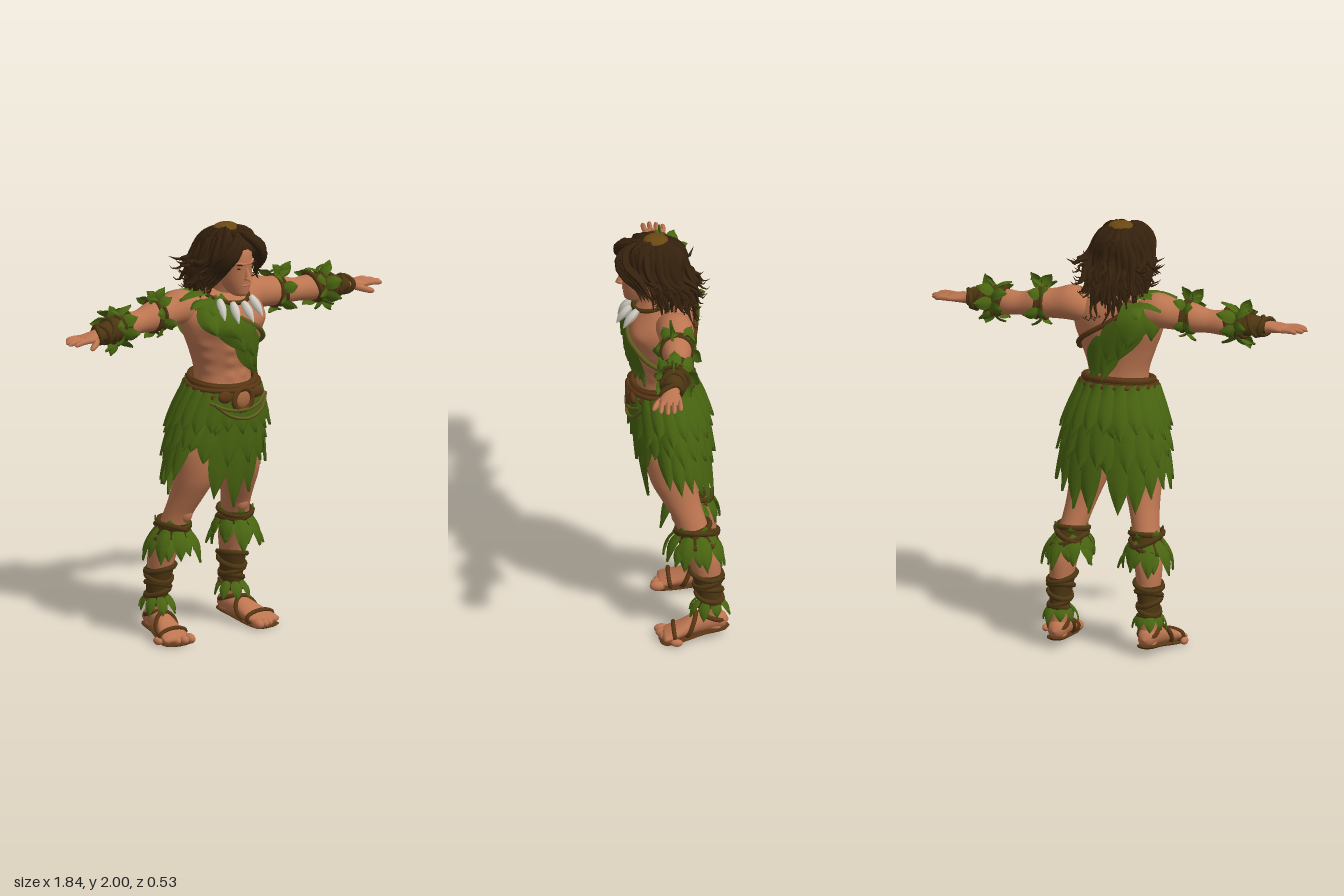
import * as THREE from 'three';
import { mergeGeometries, mergeVertices } from 'three/addons/utils/BufferGeometryUtils.js';

const V = (x, y, z) => new THREE.Vector3(x, y, z);
const mat = (name, color, side = THREE.FrontSide) => Object.assign(new THREE.MeshStandardMaterial({ color, side }), { name });
let seed = 7;
const rnd = (a, b) => { seed = (seed * 16807) % 2147483647; return a + (b - a) * seed / 2147483647; };

// Smooth interpolation of cross-sections [key, centre, centre, radius, radius]
function at(s, k) {
  let i = 0;
  while (i < s.length - 2 && k > s[i + 1][0]) i++;
  const h = s[i + 1][0] - s[i][0], t = Math.min(1, Math.max(0, (k - s[i][0]) / h));
  const slope = (n, j) => {
    const lo = s[Math.max(n - 1, 0)], hi = s[Math.min(n + 1, s.length - 1)];
    return (hi[j] - lo[j]) / (hi[0] - lo[0]);
  };
  return s[i].map((a, j) => (1 + 2 * t) * (1 - t) ** 2 * a + t * (1 - t) ** 2 * h * slope(i, j)
    + t * t * (3 - 2 * t) * s[i + 1][j] + t * t * (t - 1) * h * slope(i + 1, j));
}

// Surface around an axis: (angle, key, offset) -> point
const surf = (axis, secs, bump = () => 0) => (a, k, off = 0) => {
  const [, c1, c2, r1, r2] = at(secs, k), b = 1 + bump(Math.atan2(Math.sin(a), Math.cos(a)), k);
  const p = Math.max(0.0005, r1) * b + off, q = Math.max(0.0005, r2) * b + off, s = Math.sin(a), c = Math.cos(a);
  if (axis === 'y') return V(c1 + p * s, k, c2 + q * c);
  if (axis === 'x') return V(k, c1 + p * c, c2 + q * s);
  return V(c1 - p * s, c2 + q * c, k);
};

// Grid of points; the front faces du x dv
function grid(nu, nv, fn) {
  const pos = [], idx = [];
  for (let j = 0; j <= nv; j++) for (let i = 0; i <= nu; i++) pos.push(...fn(i / nu, j / nv).toArray());
  for (let j = 0; j < nv; j++) for (let i = 0; i < nu; i++) {
    const a = j * (nu + 1) + i, b = a + nu + 1;
    idx.push(a, a + 1, b, a + 1, b + 1, b);
  }
  let g = new THREE.BufferGeometry();
  g.setAttribute('position', new THREE.Float32BufferAttribute(pos, 3));
  g.setIndex(idx);
  g = mergeVertices(g, 1e-5);
  g.computeVertexNormals();
  return g;
}
const loft = (f, k0, k1, off = 0, nv = 36, nu = 28) => grid(nu, nv, (u, v) => f(u * Math.PI * 2, k0 + (k1 - k0) * v, off));
const ball = (x, y, z, rx, ry, rz) => new THREE.SphereGeometry(1, 20, 14).scale(rx, ry, rz).translate(x, y, z);

// Cord round a surface, optionally tilted
function ring(f, k, tilt, r, off = 0.004, phase = 0) {
  const pts = Array.from({ length: 16 }, (_, i) => { const a = i * Math.PI / 8; return f(a, k + tilt * Math.cos(a + phase), off); });
  return new THREE.TubeGeometry(new THREE.CatmullRomCurve3(pts, true), 32, r, 6, true);
}
// Tube whose radius follows a rule
function taper(pts, r, rule, n = 12, sides = 7) {
  const path = new THREE.CatmullRomCurve3(pts), g = new THREE.TubeGeometry(path, n, r, sides), p = g.attributes.position, v = V();
  for (let i = 0; i <= n; i++) {
    const c = path.getPointAt(i / n);
    for (let j = 0; j <= sides; j++) {
      const m = i * (sides + 1) + j;
      v.fromBufferAttribute(p, m).sub(c).multiplyScalar(rule(i / n)).add(c);
      p.setXYZ(m, v.x, v.y, v.z);
    }
  }
  g.computeVertexNormals();
  return g;
}
const finger = t => Math.sqrt(Math.max(0, 1 - t ** 6));

// Leaf outline, a free leaf, and a leaf draped over a surface
const OUT = [0.55, 0.82, 0.97, 1, 0.9, 0.68, 0.36, 0];
const outline = t => OUT[Math.round(t * 7)];
function leaf(root, dir, normal, len, w) {
  const d = dir.clone().normalize(), s = V().crossVectors(d, normal).normalize(), n = V().crossVectors(s, d);
  return grid(4, 7, (u, t) => { const x = u * 2 - 1;
    return root.clone().addScaledVector(d, len * t).addScaledVector(s, x * w * outline(t))
      .addScaledVector(n, len * 0.12 * Math.sin(t * 3) - Math.abs(x) * w * 0.3); });
}
function drape(f, a0, y0, a1, y1, w, off, R = 0.2) {
  const da = (a1 - a0) * R, dy = y1 - y0, l = Math.hypot(da, dy);
  return grid(4, 7, (u, t) => { const x = (u * 2 - 1) * w * outline(t);
    return f(a0 + (a1 - a0) * t - dy / l * x / R, y0 + dy * t + da / l * x, off + 0.012 * (1 - Math.abs(u * 2 - 1)) + 0.012 * t); });
}
// Fringe of free leaves standing off a surface
function fringe(f, k, axisDir, n, len, w, flare, start = 0) {
  return Array.from({ length: n }, (_, i) => {
    const a = start + i / n * Math.PI * 2, p = f(a, k, 0.008), out = f(a, k, 0.05).sub(p).normalize();
    return leaf(p, axisDir.clone().addScaledVector(out, flare * rnd(0.7, 1.3)), out, len * rnd(0.8, 1.15), w);
  });
}
function mirrored(g) {
  const m = g.clone().scale(-1, 1, 1), ix = m.index.array;
  for (let i = 0; i < ix.length; i += 3) [ix[i], ix[i + 1]] = [ix[i + 1], ix[i]];
  return m;
}

export function createModel() {
  seed = 7;
  const group = new THREE.Group(), DS = THREE.DoubleSide;
  const skin = mat('skin', 0xbc7550), green = mat('leafGreen', 0x486410, DS), leather = mat('leather', 0x5a3714, DS),
    wrap = mat('wrapBrown', 0x4d3611, DS), hair = mat('hair', 0x35210d), crown = mat('crownBrown', 0x6b4812),
    olive = mat('vine', 0x5f5a1c), tooth = mat('tooth', 0xd2cec4), copper = mat('buckleCopper', 0xa5673f);
  const add = (name, material, geos, both = false) => {
    geos.forEach(g => g.deleteAttribute('uv'));
    const g = mergeGeometries(geos);
    (both ? [['left', g], ['right', mirrored(g)]] : [['', g]]).forEach(([side, geo]) => {
      const m = new THREE.Mesh(geo, material);
      m.name = side ? side + name[0].toUpperCase() + name.slice(1) : name;
      group.add(m);
    });
  };
  const down = V(0, -1, 0), gauss = (x, c, w) => Math.exp(-(((x - c) / w) ** 2));

  // Torso with chest, stomach and back muscles
  const torso = surf('y', [[0.93, 0, 0, 0.1, 0.08], [1.0, 0, 0, 0.16, 0.12], [1.1, 0, 0.02, 0.165, 0.125], [1.22, 0, 0.03, 0.145, 0.12],
    [1.3, 0, 0.03, 0.145, 0.112], [1.4, 0, 0.035, 0.176, 0.127], [1.5, 0, 0.035, 0.21, 0.143], [1.58, 0, 0.025, 0.21, 0.14],
    [1.64, 0, 0.01, 0.165, 0.11], [1.68, 0, 0, 0.1, 0.08], [1.7, 0, 0, 0.05, 0.05]], (a, y) => {
    const b = Math.abs(a);
    let m = 0.14 * gauss(b, 0.55, 0.4) * gauss(y, 1.54, 0.05) + 0.05 * gauss(b, 2.4, 0.4) * gauss(y, 1.52, 0.1)
      - 0.07 * gauss(b, Math.PI, 0.2) * gauss(y, 1.42, 0.18);
    for (const r of [1.28, 1.345, 1.41]) m += 0.07 * gauss(b, 0.25, 0.17) * gauss(y, r, 0.022) + 0.03 * gauss(b, 1.0, 0.25) * gauss(y, r + 0.03, 0.02);
    return m;
  });
  add('torso', skin, [loft(torso, 0.93, 1.7, 0, 80, 72)]);

  // Head, neck and face
  const head = surf('y', [[1.665, 0, 0.165, 0.001, 0.001], [1.675, 0, 0.155, 0.033, 0.045], [1.7, 0, 0.14, 0.05, 0.07], [1.74, 0, 0.13, 0.064, 0.085],
    [1.79, 0, 0.12, 0.073, 0.098], [1.84, 0, 0.115, 0.077, 0.105], [1.9, 0, 0.1, 0.076, 0.1], [1.96, 0, 0.08, 0.04, 0.05]]);
  const neck = surf('y', [[1.6, 0, 0, 0.08, 0.075], [1.68, 0, 0.035, 0.064, 0.064], [1.78, 0, 0.085, 0.06, 0.06]]);
  const nose = new THREE.ConeGeometry(0.019, 0.08, 10).scale(0.9, 1, 1.1).rotateX(-0.2).translate(0, 1.795, 0.22);
  add('head', skin, [loft(head, 1.665, 1.96), loft(neck, 1.6, 1.78), nose, ball(0, 1.764, 0.226, 0.018, 0.011, 0.017),
    ball(0, 1.832, 0.198, 0.055, 0.015, 0.024), ball(0, 1.728, 0.205, 0.026, 0.007, 0.012), ball(0, 1.687, 0.188, 0.024, 0.016, 0.018)]);
  add('eye', hair, [ball(0.032, 1.81, 0.204, 0.015, 0.005, 0.006)], true);
  add('eyebrow', hair, [ball(0, 0, 0, 0.022, 0.004, 0.006).rotateZ(0.22).translate(0.036, 1.831, 0.213)], true);

  // Hair: skull cap, loose curling locks and swept front locks
  const locks = [ball(0, 1.885, 0.065, 0.115, 0.1, 0.14), ball(0, 1.78, 0.005, 0.115, 0.13, 0.085)];
  for (let layer = 0; layer < 4; layer++) for (let i = 0; i < 22; i++) {
    const a = 0.66 + (i + rnd(0, 0.8)) / 22 * (Math.PI * 2 - 1.36), s = Math.sin(a), c = Math.cos(a), w = 1 - layer * 0.1;
    const end = (c < -0.6 ? 1.58 : 1.66) + [0.14, 0.07, 0, 0][layer] + rnd(-0.03, 0.03), drop = 1.83 - end;
    const out = (r, y, z) => V(r * s * w + rnd(-0.014, 0.014), y, z + r * 0.78 * c * w + rnd(-0.012, 0.012));
    locks.push(taper([V(0.03 * s, 1.972, 0.06 + 0.03 * c), V(0.095 * s, 1.935 + 0.02 * c, 0.06 + 0.125 * c), out(0.138, 1.85, 0.05 + 0.02 * c),
      out(0.155, end + drop * 0.72, 0.02), out(0.18, end + drop * 0.45, 0), out(0.172, end + drop * 0.2, -0.01),
      out(0.2, end, -0.015), out(0.228, end + 0.018, -0.015)], rnd(0.017, 0.026), t => 0.2 + 0.8 * Math.sin(Math.PI * Math.min(1, t * 0.7 + 0.3)) - 0.18 * t, 18, 6));
  }
  for (const x of [-1, 1]) for (let i = 0; i < 4; i++)
    locks.push(taper([V(x * 0.012, 1.968, 0.1 + i * 0.02), V(x * (0.035 + i * 0.006), 1.945, 0.2), V(x * (0.072 + i * 0.008), 1.895, 0.234 - i * 0.01),
      V(x * (0.1 + i * 0.008), 1.83, 0.2 - i * 0.02), V(x * (0.1 + i * 0.015), 1.77, 0.15 - i * 0.015), V(x * (0.135 + i * 0.018), 1.72 + i * 0.012, 0.13 - i * 0.015)], 0.023, t => Math.sin(Math.PI * (0.12 + 0.87 * t))));
  add('hair', hair, locks);
  add('hairCrown', crown, [ball(0, 1.972, 0.06, 0.062, 0.028, 0.06)]);

  // Arms and hands
  const arm = surf('x', [[0.1, 1.58, -0.005, 0.06, 0.07], [0.16, 1.6, -0.015, 0.08, 0.085], [0.22, 1.61, -0.022, 0.082, 0.085], [0.3, 1.598, -0.022, 0.07, 0.075],
    [0.38, 1.592, -0.02, 0.069, 0.068], [0.46, 1.58, -0.016, 0.055, 0.055], [0.54, 1.578, -0.01, 0.06, 0.06], [0.64, 1.575, 0.005, 0.048, 0.05],
    [0.73, 1.57, 0.02, 0.029, 0.036], [0.78, 1.567, 0.028, 0.022, 0.05], [0.82, 1.565, 0.028, 0.016, 0.052], [0.84, 1.564, 0.028, 0.008, 0.045], [0.845, 1.564, 0.028, 0.001, 0.001]]);
  add('arm', skin, [loft(arm, 0.1, 0.845, 0, 60, 28)], true);
  add('hand', skin, [...[0.905, 0.92, 0.91, 0.885].map((x, i) => { const z = 0.068 - i * 0.027;
    return taper([V(0.81, 1.566, z), V(0.86, 1.567, z * 1.1), V(x, 1.558, z * 1.15)], 0.0125, finger); }),
    taper([V(0.75, 1.563, 0.045), V(0.79, 1.55, 0.088), V(0.835, 1.535, 0.112)], 0.016, finger)], true);
  add('armWraps', wrap, [loft(arm, 0.55, 0.73, 0.006, 16), loft(arm, 0.335, 0.375, 0.005, 4), ring(arm, 0.34, 0.006, 0.008), ring(arm, 0.373, -0.008, 0.008),
    ...[0.56, 0.595, 0.635, 0.665, 0.7, 0.725].map((k, i) => ring(arm, k, i % 2 ? 0.02 : -0.018, 0.012, 0.008, i))], true);
  add('armLeaves', green, [...fringe(arm, 0.35, V(1, 0, 0), 6, 0.075, 0.03, 0.55, 0.2), ...fringe(arm, 0.36, V(-1, 0, 0), 5, 0.06, 0.028, 0.7, 0.6),
    ...[0.33, 0.4].map((x, i) => leaf(arm(0.2, 0.37), V(i * 2 - 1, 1.3, 0.3), V(0, 0.4, 1), 0.085, 0.03)),
    ...fringe(arm, 0.6, V(-1, 0, 0), 7, 0.085, 0.032, 0.55), ...fringe(arm, 0.59, V(1, 0, 0), 7, 0.08, 0.032, 0.6, 0.3),
    ...[0, 3].map(a => leaf(arm(a, 0.62), V(0.4, Math.cos(a), 0.2), V(0, 0.3, 1), 0.075, 0.03))], true);

  // Legs and feet
  const leg = surf('y', [[0.05, 0.22, -0.2, 0.04, 0.055], [0.12, 0.22, -0.19, 0.038, 0.048], [0.22, 0.218, -0.178, 0.043, 0.052], [0.34, 0.212, -0.165, 0.057, 0.067],
    [0.42, 0.205, -0.15, 0.064, 0.077], [0.5, 0.19, -0.122, 0.062, 0.074], [0.6, 0.168, -0.085, 0.065, 0.075], [0.68, 0.15, -0.05, 0.073, 0.088],
    [0.78, 0.13, -0.015, 0.09, 0.108], [0.9, 0.112, -0.005, 0.102, 0.122], [1.02, 0.09, 0, 0.085, 0.115]]);
  add('leg', skin, [loft(leg, 0.05, 1.02, 0, 60, 30), ball(0.165, 0.605, -0.037, 0.036, 0.045, 0.033)], true);
  const foot = surf('z', [[-0.268, 0.22, 0.08, 0.001, 0.001], [-0.25, 0.22, 0.08, 0.032, 0.034], [-0.2, 0.22, 0.084, 0.044, 0.05], [-0.12, 0.23, 0.073, 0.05, 0.05],
    [-0.04, 0.25, 0.05, 0.066, 0.034], [0.015, 0.262, 0.034, 0.074, 0.024], [0.04, 0.263, 0.03, 0.06, 0.014], [0.045, 0.263, 0.03, 0.001, 0.001]]);
  add('foot', skin, [loft(foot, -0.268, 0.045), ...[0, 1, 2, 3, 4].map(i =>
    ball(0.202 + i * 0.034, 0.026 - i * 0.001, 0.042 - i * i * 0.004, 0.023 - i * 0.0015, 0.024 - i * 0.0015, 0.036 - i * 0.002))], true);
  const sole = surf('z', [[-0.273, 0.22, 0.048, 0.001, 0.001], [-0.25, 0.22, 0.046, 0.038, 0.012], [-0.15, 0.23, 0.031, 0.05, 0.012], [-0.03, 0.255, 0.012, 0.07, 0.011],
    [0.03, 0.262, 0.007, 0.072, 0.007], [0.055, 0.25, 0.006, 0.045, 0.006], [0.06, 0.25, 0.006, 0.001, 0.001]]);
  add('sandal', leather, [loft(sole, -0.273, 0.06), ring(foot, -0.015, 0.006, 0.01), ring(foot, -0.09, -0.025, 0.011), ring(leg, 0.105, 0.02, 0.012)], true);
  add('shinWraps', wrap, [loft(leg, 0.16, 0.33, 0.006, 12), ...[0.175, 0.21, 0.245, 0.285, 0.325].map((k, i) => ring(leg, k, i % 2 ? 0.02 : -0.018, 0.013, 0.007, i)),
    loft(leg, 0.475, 0.555, 0.007, 6), ring(leg, 0.5, 0.025, 0.014, 0.01, 1.3), ring(leg, 0.55, -0.015, 0.013, 0.01), ring(leg, 0.525, 0.03, 0.013, 0.014, -1.3)], true);
  add('legLeaves', green, [...fringe(leg, 0.535, down, 8, 0.16, 0.036, 0.36, Math.PI / 8), ...fringe(leg, 0.5, down, 7, 0.11, 0.034, 0.5, 0.75),
    ...fringe(leg, 0.54, V(0, 1, 0), 5, 0.04, 0.022, 0.3, 0.9), ...fringe(leg, 0.195, down, 8, 0.09, 0.026, 0.5, 0.4)], true);

  // Layered leaf skirt
  const skirt = surf('y', [[0.6, 0, -0.06, 0.265, 0.13], [0.8, 0, -0.035, 0.262, 0.152], [0.95, 0, -0.018, 0.242, 0.157], [1.1, 0, 0, 0.205, 0.15], [1.24, 0, 0.03, 0.155, 0.128]]);
  const tips = [0.63, 0.69, 0.87, 0.93, 0.79, 0.76, 0.77, 0.73, 0.66, 0.65, 0.84], upper = [], lower = [];
  const step = Math.PI / 10;
  tips.forEach((tip, i) => (i % 10 ? [-1, 1] : [1]).forEach(s => {
    const a = s * i * step, drift = s * 0.06, top = 1.235 - 0.025 * Math.cos(a);
    lower.push(drape(skirt, a, 1.07, a + drift, tip, 0.056, 0, 0.22));
    upper.push(drape(skirt, a + step / 2, 1.16, a + step / 2 + drift, Math.max(0.86, tip + 0.16) + rnd(-0.02, 0.02), 0.053, 0.012, 0.21));
    upper.push(drape(skirt, a, top, a, 1.02 + rnd(-0.03, 0.03), 0.046, 0.025, 0.19));
  }));
  add('skirtLowerLeaves', green, lower);
  add('skirtUpperLeaves', green, upper);
  add('skirtLining', green, [loft(skirt, 0.99, 1.2, -0.004, 12)]);

  // Belt dipping to a round buckle, with hanging vines
  const belt = (lo, hi, off) => grid(48, 4, (u, v) => { const a = u * Math.PI * 2;
    return torso(a, lo + (hi - lo) * v - 0.022 * Math.max(0, Math.cos(a)), off); });
  add('belt', leather, [belt(1.2, 1.27, 0.028), ring(torso, 1.253, -0.02, 0.017, 0.02), ring(torso, 1.205, -0.02, 0.018, 0.028), ring(torso, 1.23, -0.01, 0.013, 0.034),
    new THREE.TorusGeometry(0.052, 0.015, 8, 24).translate(0, 1.175, 0.185), ball(0.085, 1.195, 0.17, 0.045, 0.03, 0.02), ball(-0.085, 1.195, 0.17, 0.045, 0.03, 0.02)]);
  add('buckle', copper, [ball(0, 1.175, 0.182, 0.045, 0.045, 0.018)]);
  add('beltVines', olive, [0.05, 0.09].map((dip, i) => taper([-0.8, -0.4, 0, 0.4, 0.8].map(a => skirt(a + i * 0.1, 1.18 - dip * 1.1 * Math.cos(a * 1.8), 0.046)), 0.008, () => 1, 24)));

  // Leaf sash over the right shoulder, front and back
  const sash = [[-0.95, 1.655, -0.6, 1.5, 0.05], [-0.62, 1.66, -0.12, 1.46, 0.065], [-0.55, 1.6, 0.02, 1.4, 0.06], [-0.25, 1.57, 0.3, 1.37, 0.062],
    [-0.1, 1.49, 0.45, 1.29, 0.06], [0.12, 1.48, 0.7, 1.3, 0.058], [0.4, 1.43, 0.9, 1.27, 0.05]];
  const shoulder = [-0.09, -0.03, 0.03, 0.09].flatMap((z, i) => [
    leaf(V(-0.1, 1.69 - Math.abs(z) * 0.4, z), V(-1, -0.1, z * 2), V(0, 1, 0), 0.16, 0.045),
    leaf(V(-0.1, 1.67 - Math.abs(z) * 0.3, z * 1.1), V(-0.6, -0.35, z * 8), V(0, 1, z * 5), 0.11, 0.04)]);
  add('sash', green, [...sash.map((p, i) => drape(torso, ...p, 0.008 + (6 - i) * 0.003)),
    ...sash.map(([a, y, b, e, w], i) => drape(torso, Math.PI - a, y, Math.PI - b + 0.25, e - 0.02, w, 0.01 + (6 - i) * 0.004)), ...shoulder]);
  const strap = Array.from({ length: 25 }, (_, i) => { const d = (i / 12 - 1) * 2.25; return torso(Math.PI / 2 + d, 1.385 + 0.27 * (Math.abs(d) / 2.2) ** 1.3, 0.012); });
  add('frontStrap', olive, [taper(strap.slice(0, 14), 0.012, () => 1, 32)]);
  add('backStrap', leather, [taper(strap.slice(13), 0.013, () => 1, 32)]);

  // Necklace with four teeth
  const cord = Array.from({ length: 16 }, (_, i) => { const a = i * Math.PI / 8, c = Math.cos(a); return V(0.105 * Math.sin(a), 1.665 - 0.03 * c, 0.05 + 0.115 * c); });
  add('necklaceCord', wrap, [new THREE.TubeGeometry(new THREE.CatmullRomCurve3(cord, true), 40, 0.011, 6, true)]);
  add('necklaceTeeth', tooth, [[-0.095, -0.02], [-0.045, -0.015], [0.01, 0.01], [0.075, 0.02]].map(([x, lean]) => { const z = 0.175 - x * x * 5, y = 1.638 + x * x * 2;
    return taper([V(x, y, z), V(x + lean * 0.5, y - 0.042, z + 0.038), V(x + lean, y - 0.088, z + 0.07)], 0.021, t => Math.sin(Math.PI * (0.2 + 0.8 * t))); }));
  return group;
}
